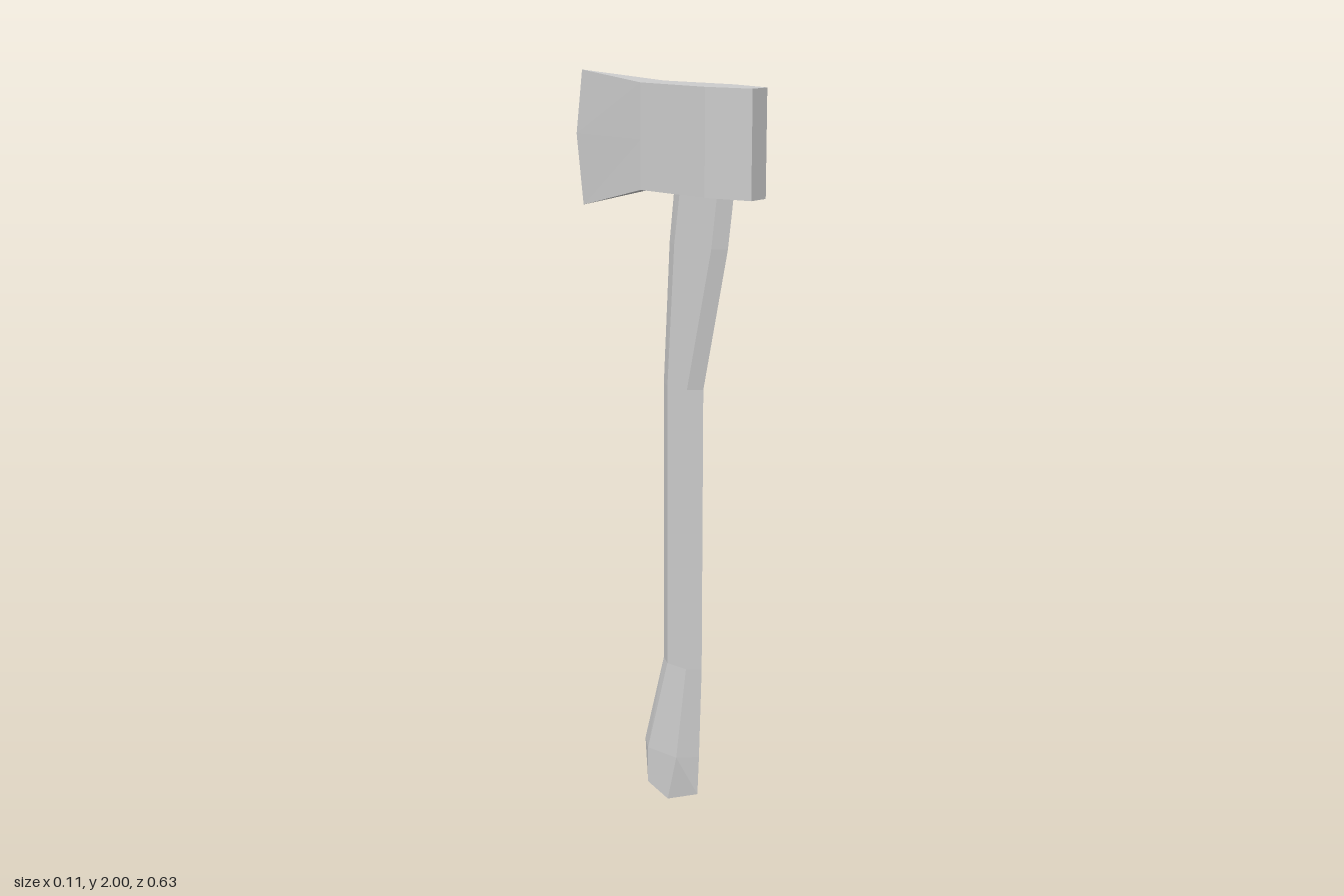
import * as THREE from 'three';

// Skin a stack of rings (points counter-clockwise seen from the last ring) and cap both ends.
// Quad diagonals are mirrored on the second half so both sides match.
function loft(name, rings) {
  const pos = [];
  const area = new THREE.Triangle();
  const tri = (...p) => {
    area.set(...p.map((c) => new THREE.Vector3(...c)));
    if (area.getArea() > 1e-7) pos.push(...p.flat());
  };
  const n = rings[0].length;
  for (let r = 0; r + 1 < rings.length; r++) {
    const a = rings[r], b = rings[r + 1];
    for (let i = 0; i < n; i++) {
      const j = (i + 1) % n;
      if (i < n / 2) {
        tri(a[i], a[j], b[j]);
        tri(a[i], b[j], b[i]);
      } else {
        tri(a[i], a[j], b[i]);
        tri(a[j], b[j], b[i]);
      }
    }
  }
  const first = rings[0], last = rings[rings.length - 1];
  for (let i = 1; i + 1 < n; i++) {
    tri(first[0], first[i + 1], first[i]);
    tri(last[0], last[i], last[i + 1]);
  }
  const geo = new THREE.BufferGeometry();
  geo.setAttribute('position', new THREE.Float32BufferAttribute(pos, 3));
  geo.computeVertexNormals();
  const mesh = new THREE.Mesh(geo, new THREE.MeshStandardMaterial({ color: 0xcccccc, flatShading: true }));
  mesh.name = name;
  return mesh;
}

// Six-sided handle section: half width, then [z, y] of front ridge, side front, side back, back ridge
const handleRing = (w, f, a, b, k) => [
  [0, f[1], f[0]], [w, a[1], a[0]], [w, b[1], b[0]],
  [0, k[1], k[0]], [-w, b[1], b[0]], [-w, a[1], a[0]],
];
const levelRing = (y, w, ...zs) => handleRing(w, ...zs.map((z) => [z, y]));

// Head section: [z, y, half width] for bottom, middle and top
const headRing = (...pts) => [
  ...pts.map(([z, y, w]) => [w, y, z]),
  ...pts.slice().reverse().map(([z, y, w]) => [-w, y, z]),
];
const blockRing = (z, w) => headRing([z, 1.705, w], [z, 1.835, w], [z, 1.98, w]);

export function createModel() {
  const group = new THREE.Group();
  group.name = 'axe';

  // Handle: slanted knob, straight grip, neck curving forward into the head
  group.add(loft('handle', [
    handleRing(0.045, [0.125, 0.02], [0.054, 0], [-0.02, 0.03], [-0.02, 0.03]),
    levelRing(0.135, 0.045, 0.13, 0.085, -0.02, -0.07),
    levelRing(0.4, 0.028, 0.138, 0.105, 0.037, 0),
    levelRing(1.19, 0.028, 0.138, 0.105, 0.037, 0),
    levelRing(1.57, 0.028, 0.217, 0.185, 0.06, 0.02),
    levelRing(1.72, 0.028, 0.236, 0.204, 0.08, 0.037),
  ]));

  // Head: flared cutting edge at the back, blunt poll at the front
  group.add(loft('axeHead', [
    headRing([-0.29, 1.64, 0], [-0.313, 1.83, 0], [-0.29, 2, 0]),
    blockRing(-0.04, 0.046),
    blockRing(0.186, 0.057),
    blockRing(0.314, 0.029),
  ]));

  return group;
}
